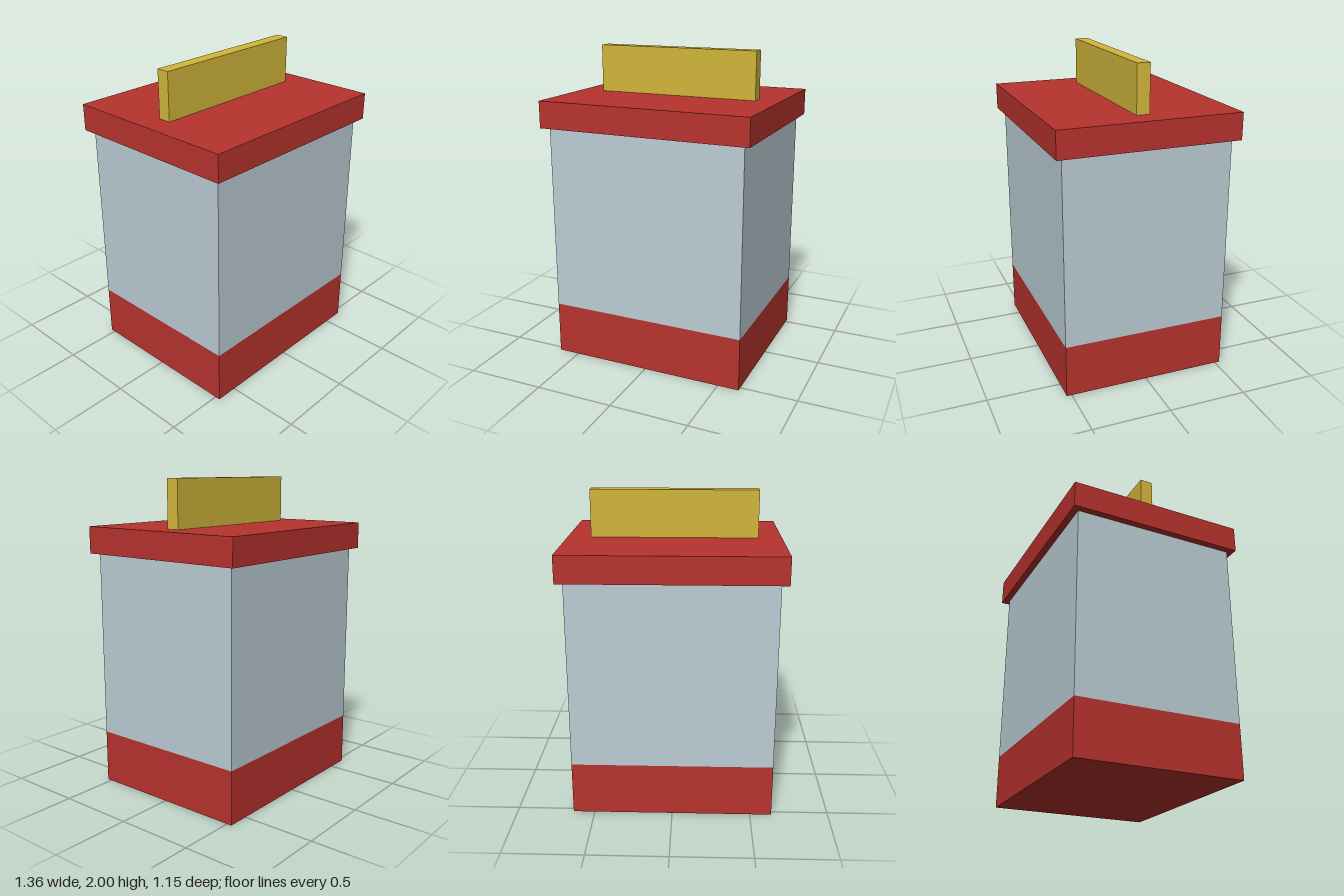
import * as THREE from 'three';

const RED = 0xb8332e, PALE_BLUE = 0xbccdd5, YELLOW = 0xd3b73b;

export function createModel() {
  const group = new THREE.Group();

  // Adds a centred block spanning bottom..top
  const addBlock = (name, color, width, depth, bottom, top) => {
    const mesh = new THREE.Mesh(
      new THREE.BoxGeometry(width, top - bottom, depth),
      new THREE.MeshStandardMaterial({ color })
    );
    mesh.name = name;
    mesh.position.y = (bottom + top) / 2;
    group.add(mesh);
  };

  addBlock('base', RED, 1.275, 1.065, 0, 0.34);
  addBlock('body', PALE_BLUE, 1.275, 1.065, 0.34, 1.53);
  // Lid overhangs the body on all sides
  addBlock('lid', RED, 1.36, 1.15, 1.53, 1.7);
  // Upright grip along the middle of the lid
  addBlock('handle', YELLOW, 1.06, 0.083, 1.7, 2);

  return group;
}
